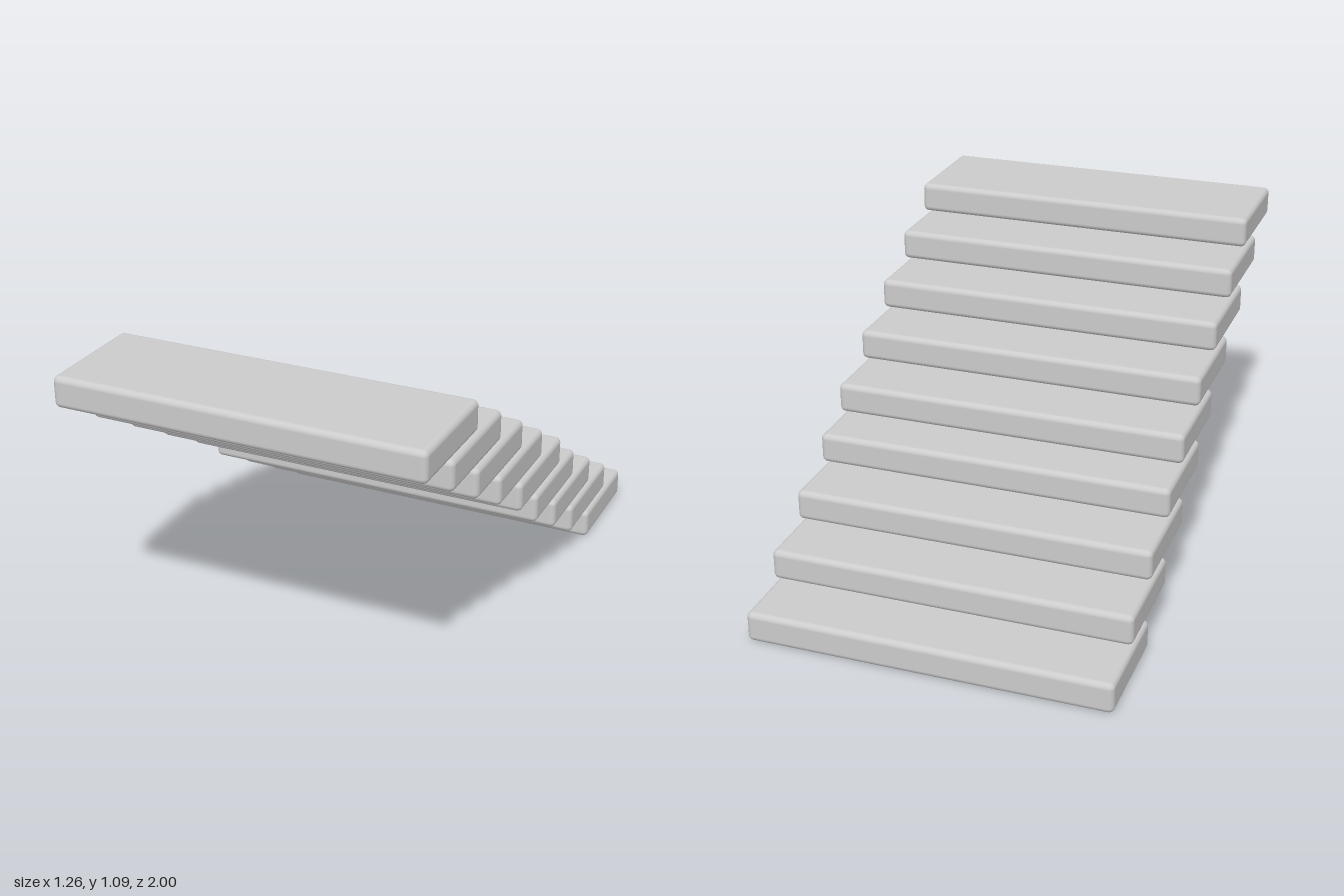
import * as THREE from 'three';
import { RoundedBoxGeometry } from 'three/addons/geometries/RoundedBoxGeometry.js';

const WIDTH = 1.264, HEIGHT = 0.108, DEPTH = 0.408, RADIUS = 0.02;
const RISE = 0.1224;

export function createModel() {
  const group = new THREE.Group();
  group.name = 'floatingStaircase';
  const material = new THREE.MeshStandardMaterial({ color: 0xcccccc });
  const tread = new RoundedBoxGeometry(WIDTH, HEIGHT, DEPTH, 4, RADIUS);

  // Nine identical treads climbing from the back to the front
  let z = -1 + DEPTH / 2;
  for (let i = 0; i < 9; i++) {
    const step = new THREE.Mesh(tread, material);
    step.name = `step${i + 1}`;
    step.position.set(0, HEIGHT / 2 + i * RISE, z);
    group.add(step);
    // The fourth and fifth treads sit closer together
    z += i === 3 ? 0.1632 : 0.2041;
  }
  return group;
}
